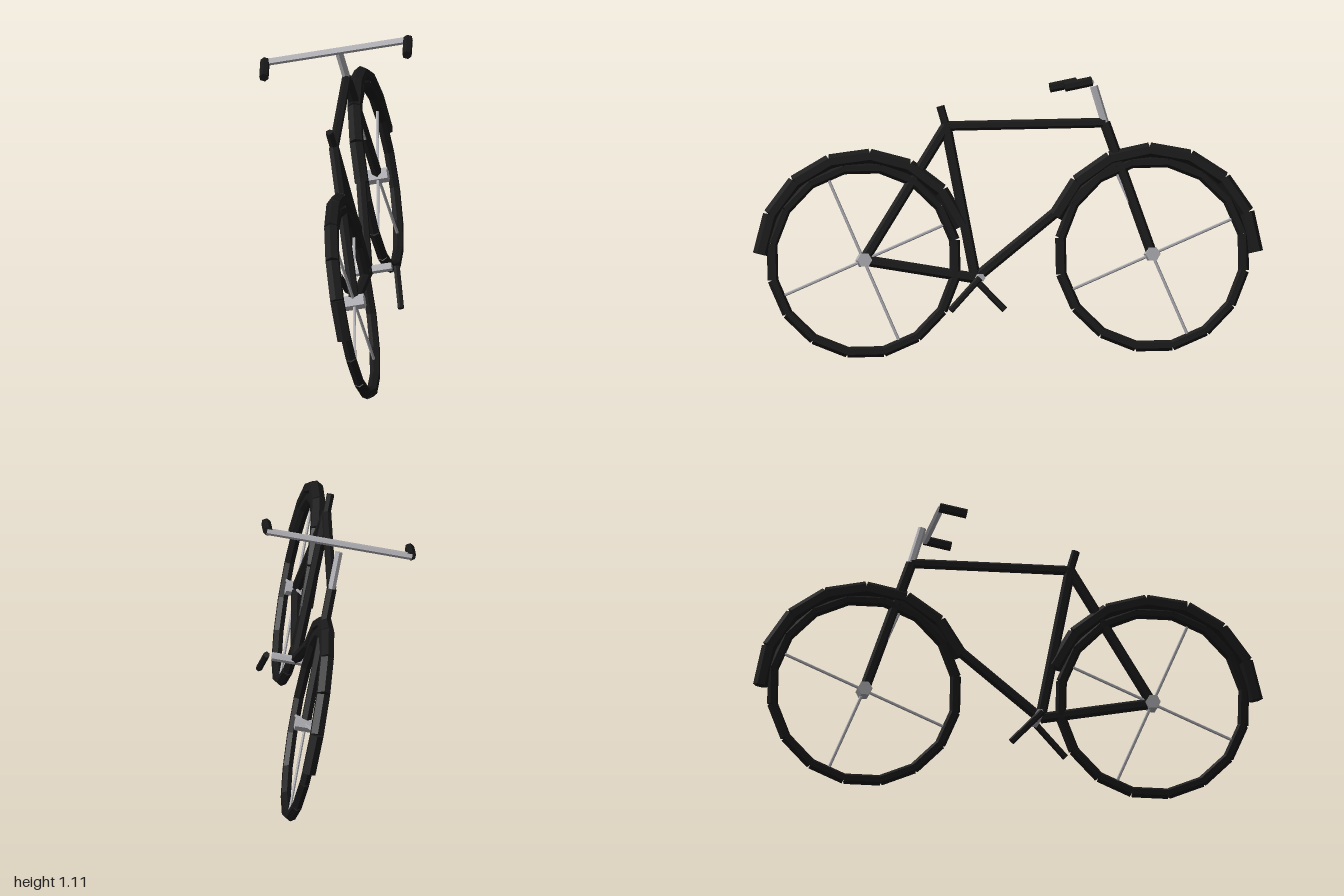
import * as THREE from 'three';

const mat = (name, color) => {
  const m = new THREE.MeshStandardMaterial({ color });
  m.name = name;
  m.flatShading = true;
  return m;
};
const UP = new THREE.Vector3(0, 1, 0);

// Six-sided straight tube between two points
function tube(name, a, b, r, material) {
  const p = new THREE.Vector3(...a), q = new THREE.Vector3(...b);
  const d = q.clone().sub(p);
  const mesh = new THREE.Mesh(new THREE.CylinderGeometry(r, r, d.length(), 6), material);
  mesh.quaternion.setFromUnitVectors(UP, d.normalize());
  mesh.position.copy(p.add(q).multiplyScalar(0.5));
  mesh.name = name;
  return mesh;
}

// Chain of straight tubes along an arc; angle 0 points forward (-z), 90 points up
function arc(name, R, r, startDeg, count, material) {
  const g = new THREE.Group();
  g.name = name;
  const at = (i) => {
    const t = THREE.MathUtils.degToRad(startDeg + i * 22.5);
    return [0, R * Math.sin(t), -R * Math.cos(t)];
  };
  for (let i = 0; i < count; i++) g.add(tube(name + 'Segment', at(i), at(i + 1), r, material));
  return g;
}

export function createModel() {
  const paint = mat('framePaint', 0x1a1a1a);
  const rubber = mat('blackRubber', 0x181818);
  const metal = mat('greyMetal', 0xb0b0b5);

  const model = new THREE.Group();
  model.name = 'bicycle';
  // The whole bicycle leans to one side
  const bike = new THREE.Group();
  bike.name = 'leaningBicycle';
  bike.position.x = 0.218;
  bike.rotation.z = 0.21;
  model.add(bike);

  // Wheels with tyre, hub, four spokes and mudguard
  const hubY = 0.382, rearZ = 0.565, frontZ = -0.561;
  const wheel = (name, z, guardStart) => {
    const g = new THREE.Group();
    g.name = name;
    g.position.set(0, hubY, z);
    g.add(arc('tyre', 0.363, 0.021, 11.25, 16, rubber));
    g.add(arc('mudguard', 0.405, 0.029, guardStart, 7, paint));
    g.add(tube('hub', [-0.041, 0, 0], [0.041, 0, 0], 0.029, metal));
    for (let i = 0; i < 4; i++) {
      const t = THREE.MathUtils.degToRad(22.5 + i * 90);
      g.add(tube('spoke', [0, 0, 0], [0, 0.35 * Math.sin(t), -0.35 * Math.cos(t)], 0.006, metal));
    }
    bike.add(g);
  };
  wheel('rearWheel', rearZ, 18);
  wheel('frontWheel', frontZ, 0);

  // Frame
  const crank = [0, 0.303, 0.13], seat = [0, 0.896, 0.232], head = [0, 0.896, -0.388];
  const rear = [0, hubY, rearZ], front = [0, hubY, frontZ];
  const frame = new THREE.Group();
  frame.name = 'frame';
  frame.add(
    tube('seatTube', crank, seat, 0.021, paint),
    tube('seatPost', seat, [0, 0.974, 0.253], 0.016, paint),
    tube('topTube', seat, head, 0.019, paint),
    tube('downTube', crank, [0, 0.74, -0.428], 0.021, paint),
    tube('chainStay', crank, rear, 0.021, paint),
    tube('seatStay', seat, rear, 0.021, paint),
    tube('fork', head, front, 0.021, paint),
    tube('stem', head, [0, 1.038, -0.348], 0.016, metal)
  );
  bike.add(frame);

  // Handlebar and grips
  const barY = 1.053, barZ = -0.307;
  bike.add(tube('handlebar', [-0.288, barY, barZ], [0.288, barY, barZ], 0.014, metal));
  for (const s of [-1, 1])
    bike.add(tube('grip', [s * 0.285, barY + 0.004, barZ - 0.005], [s * 0.285, barY - 0.016, -0.205], 0.019, rubber));

  // Crank axle and arms
  bike.add(tube('crankAxle', [-0.095, 0.303, 0.118], [0.095, 0.303, 0.118], 0.017, metal));
  for (const s of [-1, 1])
    bike.add(tube('crankArm', [s * 0.115, 0.303, 0.125], [s * 0.115, 0.178, 0.125 + s * 0.118], 0.013, paint));

  return model;
}
